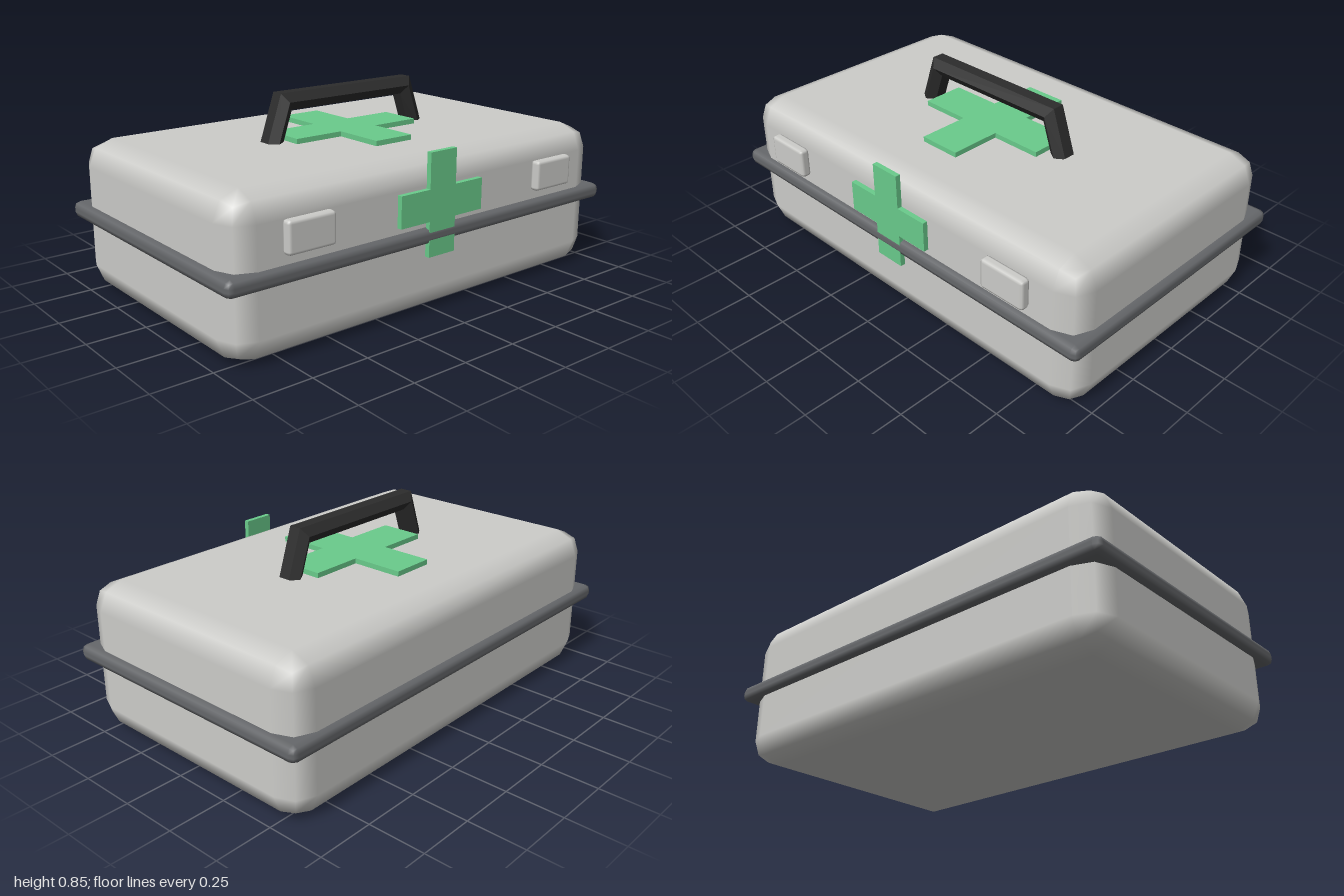
import * as THREE from 'three';
import { RoundedBoxGeometry } from 'three/addons/geometries/RoundedBoxGeometry.js';

const ZC = -0.007; // depth centre of the case

const material = (name, color, flatShading = false) => {
  const m = new THREE.MeshStandardMaterial({ color, flatShading });
  m.name = name;
  return m;
};

// Plus-shaped plate; arms reach w and h from the centre, t is half the arm width
function crossGeometry(w, h, tx, ty, depth) {
  const points = [
    [tx, h], [-tx, h], [-tx, ty], [-w, ty], [-w, -ty], [-tx, -ty],
    [-tx, -h], [tx, -h], [tx, -ty], [w, -ty], [w, ty], [tx, ty],
  ].map(([x, y]) => new THREE.Vector2(x, y));
  return new THREE.ExtrudeGeometry(new THREE.Shape(points), { depth, bevelEnabled: false });
}

// Hexagonal bar swept along a path in the xy plane with mitred corners
function handleGeometry(path, profile) {
  const normals = path.slice(1).map((p, i) => {
    const d = p.clone().sub(path[i]).normalize();
    return new THREE.Vector2(-d.y, d.x);
  });
  const n = profile.length;
  const positions = [];
  const index = [];
  path.forEach((p, i) => {
    const before = normals[Math.max(i - 1, 0)];
    const after = normals[Math.min(i, normals.length - 1)];
    const mitre = before.clone().add(after).normalize();
    mitre.divideScalar(mitre.dot(before));
    for (const [u, w] of profile) positions.push(p.x + mitre.x * u, p.y + mitre.y * u, w);
  });
  for (let i = 0; i < path.length - 1; i++) {
    for (let j = 0; j < n; j++) {
      const a = i * n + j;
      const b = i * n + (j + 1) % n;
      index.push(a, b, a + n, b, b + n, a + n);
    }
  }
  const last = (path.length - 1) * n;
  for (let k = 1; k < n - 1; k++) {
    index.push(0, k + 1, k, last, last + k, last + k + 1);
  }
  const g = new THREE.BufferGeometry();
  g.setAttribute('position', new THREE.Float32BufferAttribute(positions, 3));
  g.setIndex(index);
  const flat = g.toNonIndexed();
  flat.computeVertexNormals();
  return flat;
}

export function createModel() {
  const group = new THREE.Group();
  group.name = 'firstAidCase';
  const shell = material('light grey shell', 0xcdcdca);
  const trim = material('dark grey trim', 0x66686b);
  const green = material('green', 0x6acc8c);
  const black = material('black grip', 0x2c2c2c, true);

  const add = (name, geometry, mat, x, y, z) => {
    const mesh = new THREE.Mesh(geometry, mat);
    mesh.name = name;
    mesh.position.set(x, y, z);
    group.add(mesh);
    return mesh;
  };

  // Case and the band around its opening
  add('caseBody', new RoundedBoxGeometry(1.94, 0.65, 1.19, 1, 0.11), shell, 0, 0.325, ZC);
  add('rimBand', new RoundedBoxGeometry(2, 0.07, 1.243, 1, 0.028), trim, 0, 0.335, ZC);

  // Latches on the front
  for (const side of [1, -1]) {
    add(side > 0 ? 'leftLatch' : 'rightLatch',
      new RoundedBoxGeometry(0.214, 0.132, 0.045, 1, 0.015), shell, side * 0.65, 0.477, 0.608);
  }

  // Crosses on the front and the lid
  add('frontCross', crossGeometry(0.218, 0.214, 0.069, 0.066, 0.022), green, 0, 0.462, 0.589);
  const lidCross = add('lidCross', crossGeometry(0.324, 0.325, 0.095, 0.095, 0.023), green, 0, 0.649, ZC);
  lidCross.rotation.x = -Math.PI / 2;

  // Carrying handle
  const path = [[-0.386, 0.64], [-0.326, 0.816], [0.326, 0.816], [0.386, 0.64]]
    .map(([x, y]) => new THREE.Vector2(x, y));
  const hexagon = [
    [0.037, -0.027], [0.037, 0.027], [0, 0.054],
    [-0.037, 0.027], [-0.037, -0.027], [0, -0.054],
  ];
  add('handle', handleGeometry(path, hexagon), black, 0, 0, ZC);

  return group;
}
